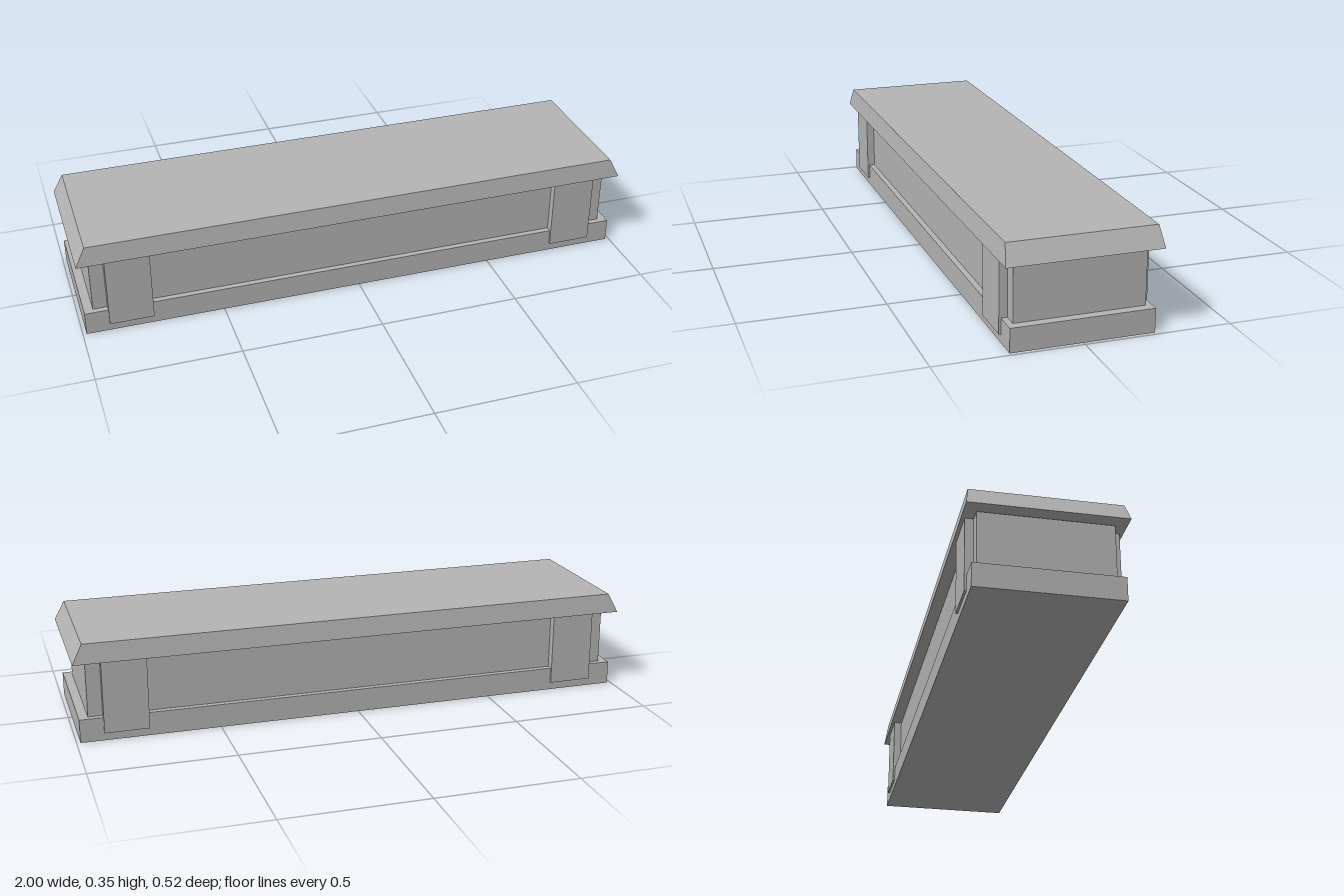
import * as THREE from 'three';

const stone = new THREE.MeshStandardMaterial({ color: 0xb4b4b4 });
stone.name = 'grey stone';

// Block given by its half width, half depth, bottom and top
function block(name, halfX, halfZ, y0, y1, x = 0) {
  const geometry = new THREE.BoxGeometry(halfX * 2, y1 - y0, halfZ * 2);
  const mesh = new THREE.Mesh(geometry, stone);
  mesh.name = name;
  mesh.position.set(x, (y0 + y1) / 2, 0);
  return mesh;
}

export function createModel() {
  const group = new THREE.Group();
  group.name = 'stone chest';

  // Plinth and recessed body
  group.add(block('base', 0.987, 0.243, 0, 0.083));
  group.add(block('body', 0.955, 0.222, 0.083, 0.282));

  // Pilasters running through the body, standing proud of both long sides
  for (const side of [-1, 1]) {
    group.add(block(side > 0 ? 'leftPilaster' : 'rightPilaster',
      0.0775, 0.25, 0.028, 0.285, side * 0.8275));
  }

  // Lid with sloping edges: the top corners are drawn inwards
  const lid = block('lid', 1, 0.262, 0.285, 0.354);
  const p = lid.geometry.attributes.position;
  for (let i = 0; i < p.count; i++) {
    if (p.getY(i) > 0) {
      p.setX(i, Math.sign(p.getX(i)) * 0.965);
      p.setZ(i, Math.sign(p.getZ(i)) * 0.252);
    }
  }
  lid.geometry.computeVertexNormals();
  group.add(lid);

  return group;
}
